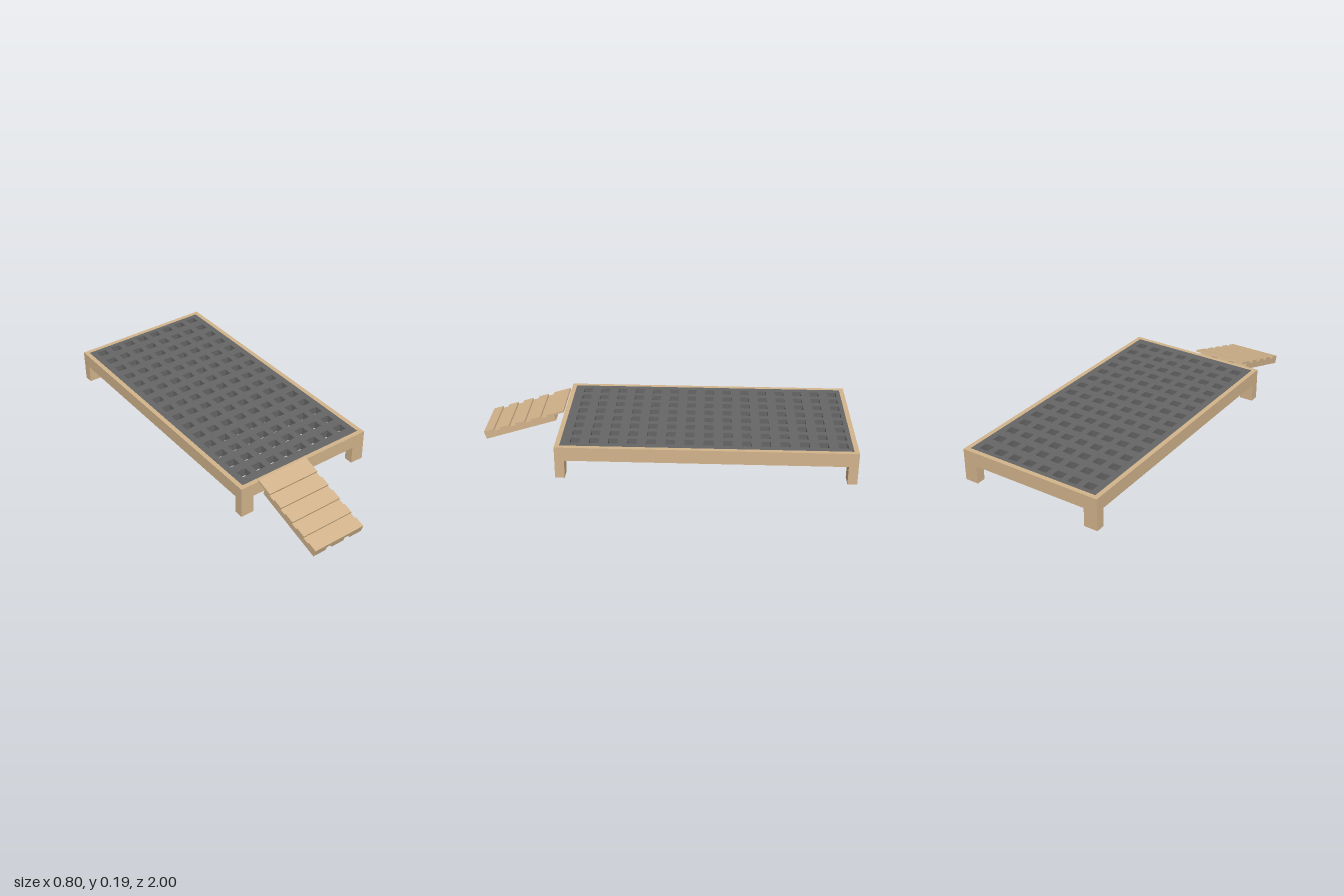
import * as THREE from 'three';

const WOOD = new THREE.MeshStandardMaterial({ color: 0xd2b48c });
const GREY = new THREE.MeshStandardMaterial({ color: 0x666666 });

// Rectangle outline on the ground plan (x, z)
function rect(PathClass, x0, x1, z0, z1) {
  const p = new PathClass();
  p.moveTo(x0, z0);
  p.lineTo(x1, z0);
  p.lineTo(x1, z1);
  p.lineTo(x0, z1);
  p.closePath();
  return p;
}

// Horizontal slab from y0 to y1 with rectangular holes
function slab(name, outer, holes, y0, y1, material) {
  const shape = rect(THREE.Shape, ...outer);
  shape.holes = holes.map(h => rect(THREE.Path, ...h));
  const geo = new THREE.ExtrudeGeometry(shape, { depth: y1 - y0, bevelEnabled: false });
  geo.rotateX(Math.PI / 2);
  geo.translate(0, y1, 0);
  const mesh = new THREE.Mesh(geo, material);
  mesh.name = name;
  return mesh;
}

function box(name, w, h, d, x, y, z) {
  const mesh = new THREE.Mesh(new THREE.BoxGeometry(w, h, d), WOOD);
  mesh.name = name;
  mesh.position.set(x, y, z);
  return mesh;
}

function createRamp() {
  const ramp = new THREE.Group();
  ramp.name = 'ramp';
  const width = 0.3, length = 0.41, railH = 0.023, boardH = 0.011;
  // Three stringers underneath
  for (const x of [-0.1125, 0, 0.1125])
    ramp.add(box('rampStringer', 0.075, railH, length, x, railH / 2, -length / 2));
  // Continuous deck with raised treads
  ramp.add(box('rampDeck', width, boardH, length, 0, railH + boardH / 2, -length / 2));
  for (let i = 0; i < 5; i++) {
    const start = i * 0.0925, depth = i === 4 ? 0.097 : 0.056;
    ramp.add(box('rampTread', width, boardH, depth, 0, railH + boardH * 1.5, -start - depth / 2));
  }
  ramp.rotation.x = THREE.MathUtils.degToRad(17.3);
  ramp.position.set(-0.15, 0.01, 0.987);
  return ramp;
}

export function createModel() {
  const model = new THREE.Group();
  model.name = 'rampedPlatform';

  // Frame: supporting ledge below, thin rim around the grating
  const outer = [-0.4, 0.4, -1, 0.55];
  const seat = [-0.375, 0.375, -0.975, 0.525];
  const gratingBottom = 0.13, top = 0.175;
  model.add(slab('frameLedge', outer, [[-0.325, 0.325, -0.925, 0.475]], 0.1, gratingBottom, WOOD));
  model.add(slab('frameRim', outer, [seat], gratingBottom, top, WOOD));

  // Grating: 8 by 15 square openings
  const holes = [];
  for (let i = 0; i < 8; i++) {
    for (let j = 0; j < 15; j++) {
      const x = -0.339 + i * 0.0893, z = -0.951 + j * 0.0984;
      holes.push([x, x + 0.0536, z, z + 0.049]);
    }
  }
  model.add(slab('grating', seat, holes, gratingBottom, top, GREY));

  // Corner legs
  for (const x of [-0.3625, 0.3625])
    for (const z of [-0.975, 0.525])
      model.add(box('leg', 0.075, 0.1, 0.05, x, 0.05, z));

  model.add(createRamp());
  return model;
}
